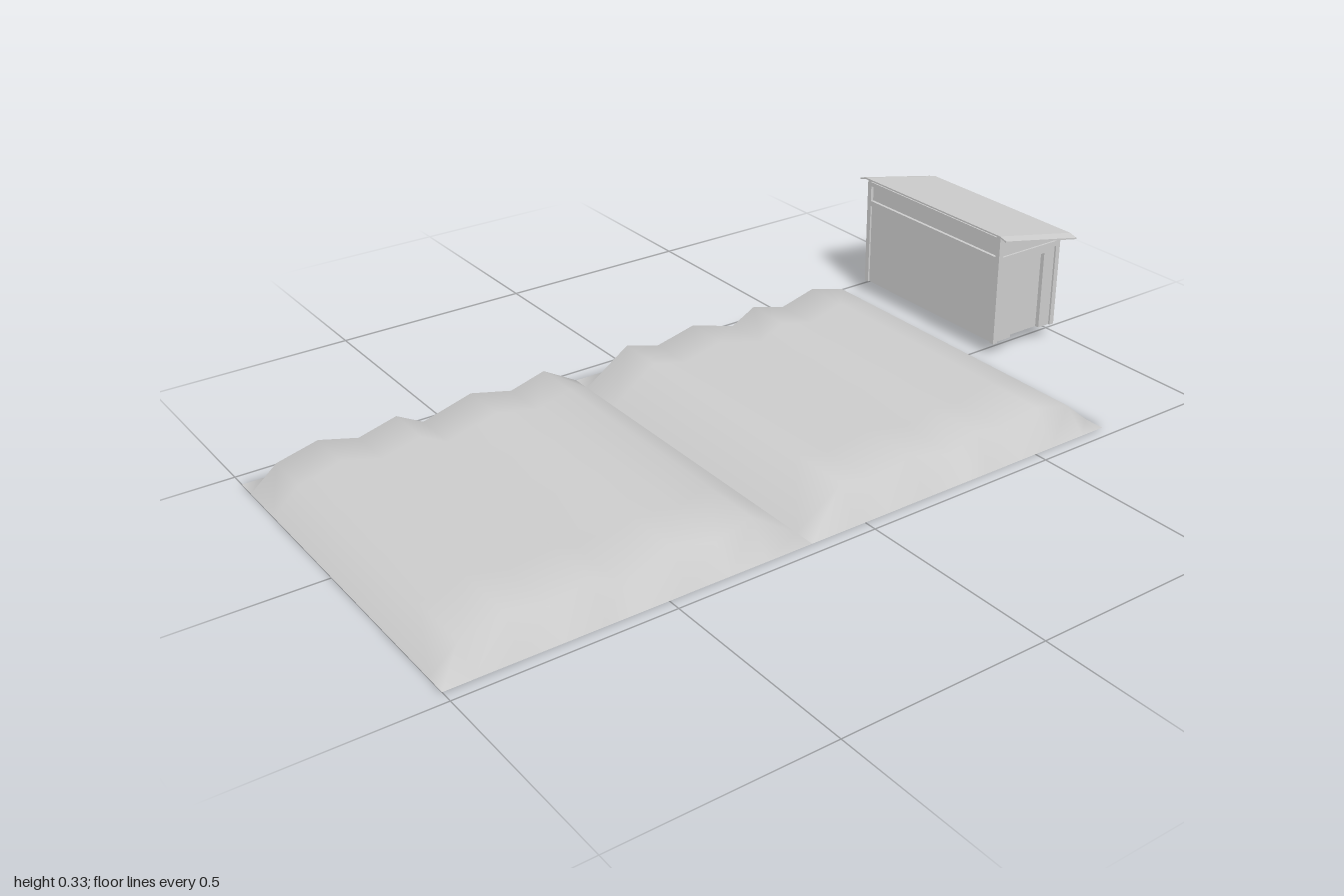
import * as THREE from 'three';

const material = new THREE.MeshStandardMaterial({ color: 0xcccccc, side: THREE.DoubleSide });

function addMesh(parent, name, geometry, x = 0, y = 0, z = 0) {
  const mesh = new THREE.Mesh(geometry, material);
  mesh.name = name;
  mesh.position.set(x, y, z);
  parent.add(mesh);
  return mesh;
}

// Box given by its limits on each axis
function addBox(parent, name, [x0, x1], [y0, y1], [z0, z1]) {
  const geometry = new THREE.BoxGeometry(x1 - x0, y1 - y0, z1 - z0);
  return addMesh(parent, name, geometry, (x0 + x1) / 2, (y0 + y1) / 2, (z0 + z1) / 2);
}

// Flat panel in x/y, extruded along z
function addPanel(parent, name, points, z, depth) {
  const shape = new THREE.Shape(points.map(([x, y]) => new THREE.Vector2(x, y)));
  const geometry = new THREE.ExtrudeGeometry(shape, { depth, bevelEnabled: false });
  return addMesh(parent, name, geometry, 0, 0, z);
}

// Rolling ground: an open sheet with ridges along z, falling to zero at every edge
function groundSheet(profile) {
  const rows = [-0.46, -0.41, -0.29, -0.12, 0.07, 0.26, 0.415, 0.468];
  const geometry = new THREE.PlaneGeometry(1, 1, profile.length - 1, rows.length - 1);
  const position = geometry.attributes.position;
  rows.forEach((z, r) => profile.forEach(([x, y], c) => {
    const edge = r === 0 || r === rows.length - 1;
    position.setXYZ(r * profile.length + c, x, edge ? 0 : y, z);
  }));
  geometry.computeVertexNormals();
  return geometry;
}

function buildGround() {
  const ground = new THREE.Group();
  ground.name = 'ground';
  const seam = -0.1425;
  const profile = [[-1, 0], [-0.935, 0.055], [-0.835, 0.08], [-0.74, 0.055], [-0.645, 0.08],
    [-0.58, 0.045], [-0.455, 0.08], [-0.35, 0.055], [-0.26, 0.08], [seam, 0]];
  const mirrored = profile.map(([x, y]) => [2 * seam - x, y]).reverse();
  addMesh(ground, 'rightGround', groundSheet(profile));
  addMesh(ground, 'leftGround', groundSheet(mirrored));
  return ground;
}

function buildHut() {
  const hut = new THREE.Group();
  hut.name = 'hut';
  const [x0, x1, z0, z1] = [0.76, 0.97, -0.445, 0.052];
  const [floor, eave, post, inset, thick] = [0.04, 0.271, 0.013, 0.005, 0.006];
  const roofY = x => 0.328 - (x - 0.755) * 0.2;

  // Corner posts, reaching up to the sloping roof
  for (const x of [x0, x1 - post]) {
    for (const z of [z0, z1 - post]) {
      addPanel(hut, 'cornerPost', [[x, floor], [x + post, floor],
        [x + post, roofY(x + post)], [x, roofY(x)]], z, post);
    }
  }

  // Long side walls with a rail on top
  const wallZ = [z0 + post, z1 - post];
  const rail = [0.257, eave];
  addBox(hut, 'rightWall', [x0 + inset, x0 + inset + thick], [floor, rail[0]], wallZ);
  addBox(hut, 'leftWall', [x1 - inset - thick, x1 - inset], [floor, rail[0]], wallZ);
  addBox(hut, 'rightRail', [x0, x0 + post], rail, wallZ);
  addBox(hut, 'leftRail', [x1 - post, x1], rail, wallZ);

  // Recessed strip under the high side of the roof
  addBox(hut, 'highStrip', [x0 + 0.008, x0 + post], [eave, 0.322], wallZ);
  addBox(hut, 'highRail', [x0, x0 + post], [0.312, 0.323], wallZ);

  // End walls: plain at the back, doorway at the front
  const [a, b] = [x0 + post, x1 - post];
  const [d0, d1, doorTop] = [0.82, 0.925, 0.245];
  addPanel(hut, 'backWall', [[a, floor], [b, floor], [b, rail[0]], [a, rail[0]]], z0 + inset, thick);
  addPanel(hut, 'frontWall', [[a, floor], [d0, floor], [d0, doorTop], [d1, doorTop],
    [d1, floor], [b, floor], [b, rail[0]], [a, rail[0]]], z1 - inset - thick, thick);
  addBox(hut, 'door', [d0, d1], [floor, doorTop], [z1 - 0.021, z1 - 0.016]);
  for (const [x, s] of [[d0, 1], [d1, -1]]) {
    addBox(hut, 'doorJamb', [Math.min(x, x + s * 0.003), Math.max(x, x + s * 0.003)],
      [floor, doorTop], [z1 - 0.021, z1 - inset]);
  }

  // Rail and sloping gable above each end wall
  for (const [name, railZ, gableZ] of [['back', z0, z0 + inset], ['front', z1 - post, z1 - inset - thick]]) {
    addBox(hut, name + 'Rail', [a, b], rail, [railZ, railZ + post]);
    addPanel(hut, name + 'Gable', [[a, eave], [b, eave], [b, roofY(b)], [a, roofY(a)]], gableZ, thick);
  }

  // Thin sloping roof with both ends bent slightly down
  const roof = new THREE.BoxGeometry(0.245, 0.004, 0.546, 1, 1, 3);
  const position = roof.attributes.position;
  const zs = [-0.471, -0.448, 0.055, 0.077];
  for (let i = 0; i < position.count; i++) {
    const step = Math.round((position.getZ(i) / 0.546 + 0.5) * 3);
    const x = position.getX(i) + 0.8775;
    const drop = step === 0 || step === 3 ? 0.006 : 0;
    position.setXYZ(i, x, roofY(x) + 0.002 + position.getY(i) - drop, zs[step]);
  }
  const flatRoof = roof.toNonIndexed();
  flatRoof.computeVertexNormals();
  addMesh(hut, 'roof', flatRoof);
  return hut;
}

export function createModel() {
  const model = new THREE.Group();
  model.name = 'groundWithHut';
  model.add(buildGround(), buildHut());
  return model;
}
